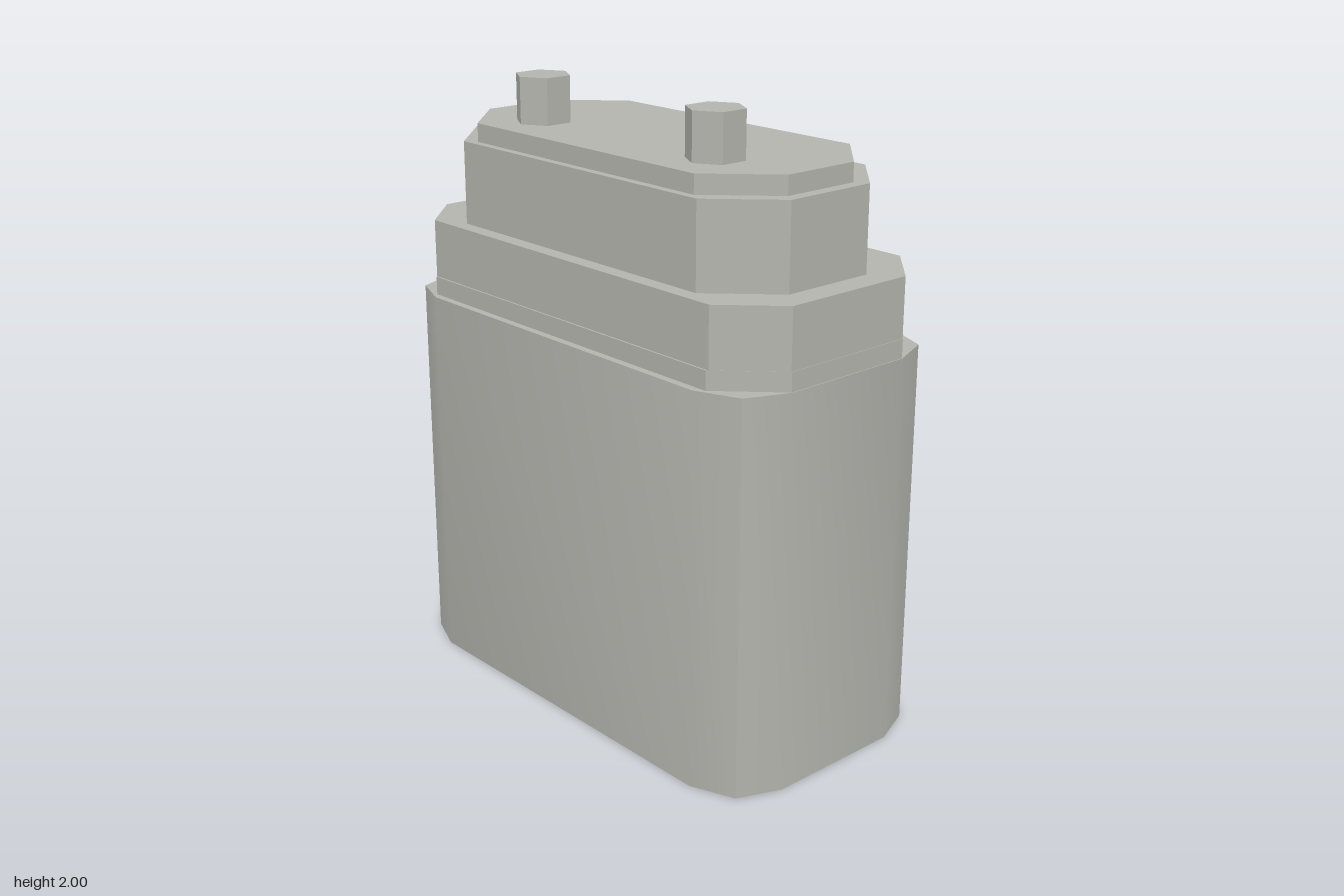
import * as THREE from 'three';
import { toCreasedNormals } from 'three/addons/utils/BufferGeometryUtils.js';

// Mirrors one quadrant of corner points (from the x side round to the z side) into a full outline.
function outline(quadrant) {
  const back = [...quadrant].reverse();
  return new THREE.Shape([
    ...quadrant.map(([x, z]) => new THREE.Vector2(x, z)),
    ...back.map(([x, z]) => new THREE.Vector2(-x, z)),
    ...quadrant.map(([x, z]) => new THREE.Vector2(-x, -z)),
    ...back.map(([x, z]) => new THREE.Vector2(x, -z)),
  ]);
}

// Upright prism between two heights.
function prism(quadrant, y0, y1) {
  const geo = new THREE.ExtrudeGeometry(outline(quadrant), { depth: y1 - y0, bevelEnabled: false });
  geo.rotateX(-Math.PI / 2);
  geo.translate(0, y0, 0);
  return geo;
}

export function createModel() {
  const model = new THREE.Group();
  model.name = 'steppedCasing';
  const grey = new THREE.MeshStandardMaterial({ color: 0xb4b4ae });
  grey.name = 'warm grey';

  const add = (name, geometry) => {
    const mesh = new THREE.Mesh(geometry, grey);
    mesh.name = name;
    model.add(mesh);
    return mesh;
  };

  // Main body: softly shaded walls with one sharp edge at each corner
  const body = prism([[0.427, 0.625], [0.37, 0.768], [0.23, 0.825]], 0, 1.27);
  add('body', toCreasedNormals(body, Math.PI / 6));

  // Stepped collars above the body, each a chamfered rectangle
  const tiers = [
    ['collarFoot', 0.402, 0.822, 0.17, 1.27, 1.33],
    ['lowerCollar', 0.396, 0.82, 0.163, 1.33, 1.52],
    ['upperCollar', 0.345, 0.733, 0.185, 1.52, 1.79],
    ['topPlate', 0.318, 0.693, 0.185, 1.79, 1.85],
  ];
  for (const [name, x, z, cut, y0, y1] of tiers) {
    add(name, prism([[x, z - cut], [x - cut, z]], y0, y1));
  }

  // Two hexagonal pins, offset to the right side
  for (const [name, z] of [['frontPin', 0.4], ['rearPin', -0.4]]) {
    const geo = new THREE.CylinderGeometry(0.092, 0.092, 0.15, 6).rotateY(Math.PI / 6);
    add(name, toCreasedNormals(geo, 0.3)).position.set(-0.135, 1.925, z);
  }
  return model;
}
